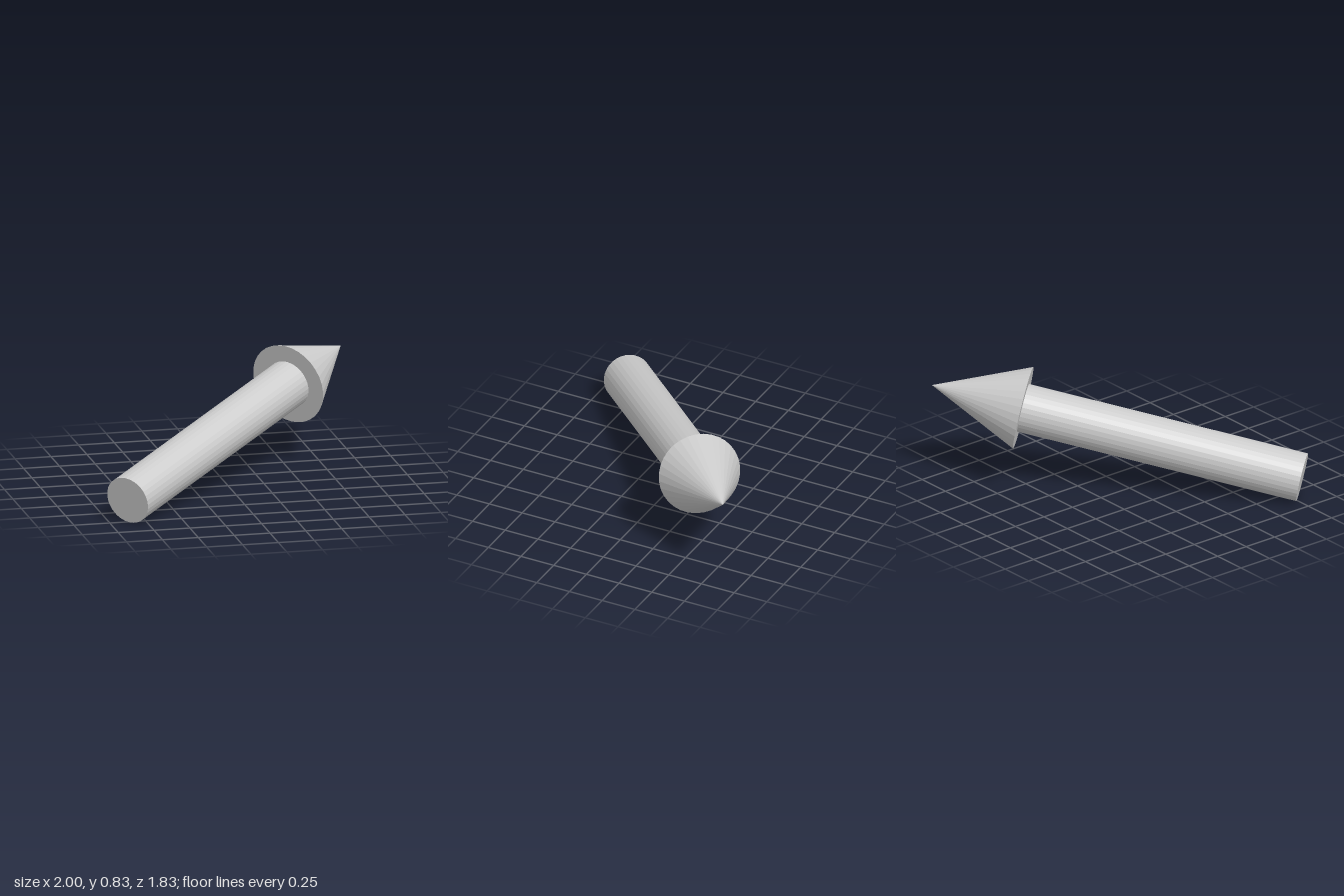
import * as THREE from 'three';

const SIDES = 32;

export function createModel() {
  const model = new THREE.Group();
  model.name = 'arrow';
  const material = new THREE.MeshStandardMaterial({ color: 0xcccccc, flatShading: true });

  const tail = new THREE.Vector3(-0.885, 0.164, 0.79);
  const tip = new THREE.Vector3(1, 0.68, -0.915);
  const length = tail.distanceTo(tip);
  const headLength = 0.64;
  const shaftLength = length - headLength;

  // Built upright from the tail, then tilted towards the tip
  const add = (name, geometry, y) => {
    const mesh = new THREE.Mesh(geometry, material);
    mesh.name = name;
    mesh.position.y = y;
    model.add(mesh);
  };

  // Round shaft with closed ends
  add('shaft', new THREE.CylinderGeometry(0.167, 0.167, shaftLength, SIDES), shaftLength / 2);

  // Pointed head with a flat base
  add('head', new THREE.ConeGeometry(0.286, headLength, SIDES), length - headLength / 2);

  const direction = tip.clone().sub(tail).normalize();
  model.quaternion.setFromUnitVectors(new THREE.Vector3(0, 1, 0), direction);
  model.position.copy(tail);

  const root = new THREE.Group();
  root.add(model);
  return root;
}
